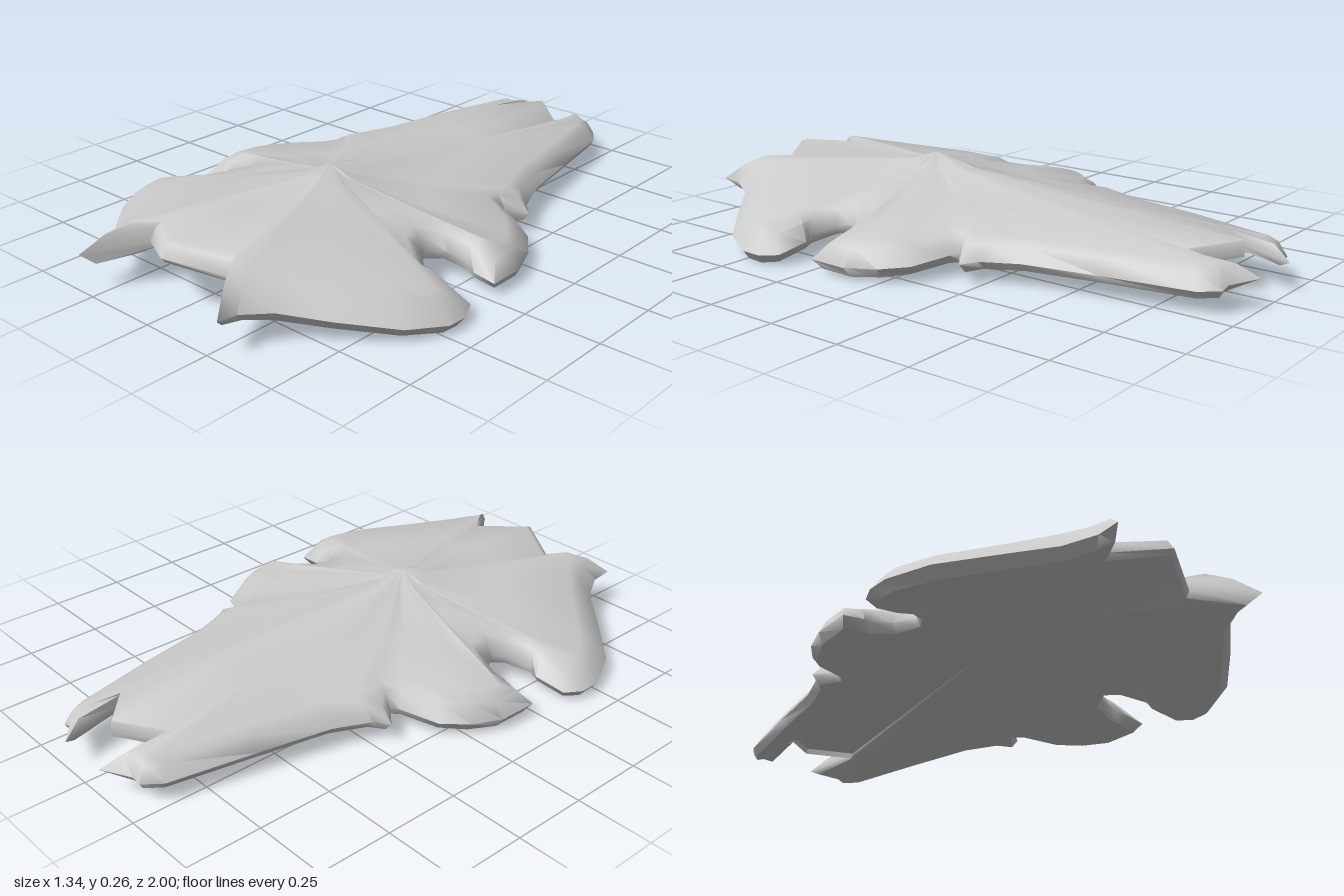
import * as THREE from 'three';
import { toCreasedNormals } from 'three/addons/utils/BufferGeometryUtils.js';

// Left half of the outer edge, front to back: x, z, height of the underside
const EDGE = [
  0, .935, .165, .17, .84, .125, .30, 1, .085, .30, .93, .08, .35, .84, .065,
  .47, .74, .04, .61, .61, .015, .67, .49, .003, .67, .42, 0, .64, .36, .005,
  .54, .34, .03, .50, .37, .035, .43, .32, .06, .40, .28, .065, .44, .22, .055,
  .52, .21, .035, .55, .23, .025, .625, .23, .015, .62, .10, .01, .58, 0, .015,
  .52, -.08, .025, .40, -.13, .04, .38, -.15, .045, .44, -.20, .035, .40, -.24, .045,
  .35, -.36, .05, .30, -.60, .05, .24, -.88, .045, .20, -.94, .05, .17, -.94, .06,
  .09, -1, .075, .13, -.79, .095, 0, -.90, .115,
];
// Matching crest of the rounded rim: x, z, height of the top
const CREST = [
  0, .89, .225, .16, .80, .2, .21, .87, .205, .25, .84, .195, .29, .79, .185,
  .40, .68, .16, .53, .56, .13, .59, .49, .11, .595, .46, .11, .57, .44, .115,
  .50, .41, .13, .45, .39, .14, .38, .34, .16, .35, .28, .168, .38, .20, .16,
  .47, .165, .14, .51, .155, .133, .56, .14, .12, .55, .07, .12, .51, .02, .125,
  .46, -.03, .13, .36, -.08, .145, .33, -.15, .145, .35, -.20, .14, .33, -.25, .14,
  .29, -.36, .14, .245, -.60, .14, .19, -.85, .135, .175, -.89, .137, .16, -.89, .141,
  .145, -.87, .143, .13, -.78, .151, 0, -.89, .168,
];

// Half table to a closed loop of points, mirrored over x = 0
function loopOf(table) {
  const half = [];
  for (let i = 0; i < table.length; i += 3) {
    half.push(new THREE.Vector3(table[i], table[i + 2], table[i + 1]));
  }
  const mirrored = half.slice(1, -1).reverse().map(p => new THREE.Vector3(-p.x, p.y, p.z));
  return half.concat(mirrored);
}

// Joins consecutive rings with quads, skipping the empty triangles at a pole
function skin(rings) {
  const pos = [];
  const tri = (a, b, c) => {
    if (a.distanceTo(b) < 1e-6 || b.distanceTo(c) < 1e-6 || c.distanceTo(a) < 1e-6) return;
    for (const p of [a, b, c]) pos.push(p.x, p.y, p.z);
  };
  for (let r = 0; r < rings.length - 1; r++) {
    const A = rings[r], B = rings[r + 1], n = A.length;
    for (let i = 0; i < n; i++) {
      const j = (i + 1) % n;
      tri(A[i], B[i], B[j]);
      tri(A[i], B[j], A[j]);
    }
  }
  const g = new THREE.BufferGeometry();
  g.setAttribute('position', new THREE.Float32BufferAttribute(pos, 3));
  return toCreasedNormals(g, 1.1);
}

export function createModel() {
  const edge = loopOf(EDGE), crest = loopOf(CREST);
  const base = new THREE.Vector3(0, .243, .26);
  const peak = new THREE.Vector3(0, .265, .26);
  const ceiling = new THREE.Vector3(0, .18, .26);

  // Roof rings run from the peak out to the crest; the rear sags slightly
  const roof = t => crest.map(c => {
    const p = base.clone().lerp(c, t);
    p.y -= .01 * Math.sin(Math.PI * t) * THREE.MathUtils.clamp((.3 - c.z) / .4, 0, 1);
    return p;
  });
  const outer = edge.map((e, i) => new THREE.Vector3(e.x, e.y + (crest[i].y - e.y) * .28, e.z));
  const shoulder = outer.map((o, i) => {
    const p = o.clone().lerp(crest[i], .5);
    p.y += .014;
    return p;
  });
  const lip = edge.map((e, i) => new THREE.Vector3(
    e.x + (crest[i].x - e.x) * .3, e.y, e.z + (crest[i].z - e.z) * .3));
  const inner = edge.map((e, i) => new THREE.Vector3(crest[i].x, e.y + .018, crest[i].z));

  const hull = new THREE.Mesh(
    skin([
      crest.map(() => peak), roof(.13), roof(.6), crest, // roof
      shoulder, outer, lip, inner,                       // rounded rim
      crest.map(() => ceiling),                          // hollow underside
    ]),
    new THREE.MeshStandardMaterial({ color: 0xcccccc, side: THREE.DoubleSide }));
  hull.name = 'hullShell';

  const group = new THREE.Group();
  group.name = 'flatHull';
  group.add(hull);
  return group;
}
